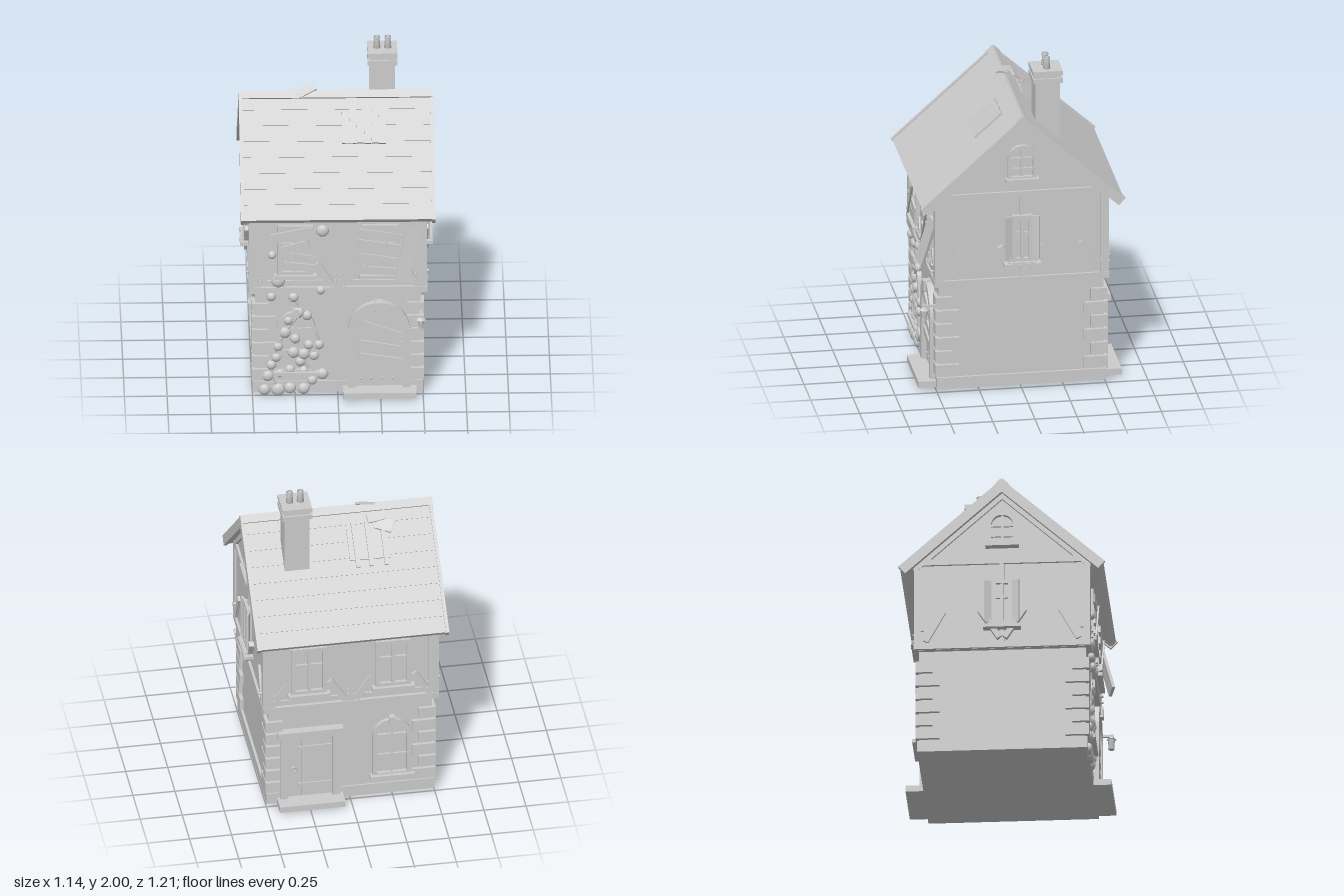
import * as THREE from 'three';

export function createModel() {
  const stone = new THREE.MeshStandardMaterial({ color: 0xcccccc });
  stone.name = 'pale grey';
  const house = new THREE.Group();
  house.name = 'house';

  const add = (parent, name, geo, x, y, z, rz = 0, rx = 0, ry = 0) => {
    const m = new THREE.Mesh(geo, stone);
    m.name = name;
    m.position.set(x, y, z);
    m.rotation.set(rx, ry, rz);
    parent.add(m);
    return m;
  };
  const box = (parent, name, w, h, d, x, y, z, rz, rx, ry) =>
    add(parent, name, new THREE.BoxGeometry(w, h, d), x, y, z, rz, rx, ry);
  // beam lying on a face between two points
  const beam = (parent, name, x1, y1, x2, y2, w, d, z) =>
    box(parent, name, Math.hypot(x2 - x1, y2 - y1), w, d, (x1 + x2) / 2, (y1 + y2) / 2, z, Math.atan2(y2 - y1, x2 - x1));
  const group = (parent, name, x = 0, y = 0, z = 0, ry = 0) => {
    const g = new THREE.Group();
    g.name = name;
    g.position.set(x, y, z);
    g.rotation.y = ry;
    parent.add(g);
    return g;
  };

  // arch-headed outline: half width r, foot y0, springing y1
  const arch = (Type, r, y0, y1) => {
    const s = new Type();
    s.moveTo(-r, y0);
    s.lineTo(r, y0);
    s.lineTo(r, y1);
    s.absarc(0, y1, r, 0, Math.PI, false);
    s.lineTo(-r, y0);
    return s;
  };
  const extrude = (s, depth) => new THREE.ExtrudeGeometry(s, { depth, bevelEnabled: false, curveSegments: 12 });
  const archFrame = (parent, r, t, y0, y1, foot, depth) => {
    const s = arch(THREE.Shape, r, y0, y1);
    s.holes.push(arch(THREE.Path, r - t, y0 + foot, y1));
    add(parent, 'archFrame', extrude(s, depth), 0, 0, 0);
  };
  const archWindow = (parent, x, z, r, y0, y1) => {
    const g = group(parent, 'archedWindow', x, 0, z);
    archFrame(g, r, r * 0.24, y0, y1, 0.02, 0.03);
    add(g, 'windowPane', extrude(arch(THREE.Shape, r * 0.9, y0, y1), 0.006), 0, 0, 0);
    box(g, 'mullion', 0.014, y1 - y0 + r * 0.9, 0.02, 0, (y0 + y1 + r * 0.9) / 2, 0.01);
    for (const y of [y0 + (y1 - y0) * 0.5, y1]) box(g, 'glazingBar', r * 1.7, 0.012, 0.018, 0, y, 0.01);
    box(g, 'sill', r * 2.3, 0.022, 0.055, 0, y0, 0.025);
    return g;
  };
  const casement = (parent, x, z, w, y0, y1) => {
    const g = group(parent, 'casementWindow', x, 0, z);
    const h = y1 - y0, y = (y0 + y1) / 2;
    box(g, 'windowPane', w, h, 0.008, 0, y, 0.002);
    for (const s of [-1, 1]) {
      box(g, 'frameSide', 0.024, h, 0.03, s * (w / 2 - 0.012), y, 0.01);
      box(g, 'frameRail', w, 0.024, 0.03, 0, y + s * (h / 2 - 0.012), 0.01);
    }
    box(g, 'mullion', 0.02, h, 0.025, 0, y, 0.01);
    box(g, 'glazingBar', w, 0.014, 0.02, 0, y + h * 0.12, 0.01);
    box(g, 'sill', w + 0.04, 0.022, 0.05, 0, y0 - 0.008, 0.02);
  };

  // walls
  box(house, 'plinth', 1, 0.07, 1, 0, 0.055, 0);
  box(house, 'lowerWalls', 0.97, 0.62, 0.98, 0, 0.37, 0);
  const gable = new THREE.Shape([[-0.5, 0.67], [0.5, 0.67], [0.5, 1.22], [0, 1.67], [-0.5, 1.22]].map(p => new THREE.Vector2(...p)));
  add(house, 'upperWalls', extrude(gable, 1.02), -0.51, 0, 0, 0, 0, Math.PI / 2);

  // corner stones
  for (const sx of [-1, 1]) for (const sz of [-1, 1]) for (let i = 0; i < 6; i++) {
    const len = i % 2 ? 0.14 : 0.1;
    box(house, 'cornerStone', len, 0.07, len, sx * (0.506 - len / 2), 0.565 - i * 0.0855, sz * (0.51 - len / 2));
  }

  // timber framing on the long sides
  const front = group(house, 'frontFace');
  const back = group(house, 'backFace', 0, 0, 0, Math.PI);
  for (const f of [front, back]) {
    box(f, 'bottomRail', 1.044, 0.038, 0.04, 0, 0.69, 0.5);
    box(f, 'topRail', 1.044, 0.045, 0.04, 0, 1.2, 0.5);
    box(f, 'centrePost', 0.05, 0.5, 0.03, 0, 0.95, 0.5);
    for (const s of [-1, 1]) {
      box(f, 'cornerPost', 0.06, 0.52, 0.05, s * 0.492, 0.95, 0.492);
      beam(f, 'brace', s * 0.03, 0.715, s * 0.125, 0.86, 0.035, 0.03, 0.5);
      beam(f, 'brace', s * 0.465, 0.715, s * 0.375, 0.86, 0.035, 0.03, 0.5);
      box(f, 'lowerRail', 0.34, 0.03, 0.025, s * 0.25, 0.735, 0.5);
      casement(f, s * 0.25, 0.5, 0.21, 0.79, 1.11);
      const peg = new THREE.CylinderGeometry(0.009, 0.009, 0.02, 8);
      for (const y of [0.75, 0.79]) for (const x of [0.015, 0.455])
        add(f, 'peg', peg, s * x, y, 0.52, 0, Math.PI / 2);
    }
  }

  // gable ends
  for (const s of [-1, 1]) {
    const f = group(house, 'gableEnd', 0, 0, 0, s * Math.PI / 2);
    box(f, 'bottomRail', 1.02, 0.038, 0.03, 0, 0.69, 0.51);
    box(f, 'tieBeam', 1.02, 0.038, 0.03, 0, 1.23, 0.51);
    box(f, 'centrePost', 0.03, 0.53, 0.025, 0, 0.96, 0.51);
    casement(f, 0, 0.515, 0.12, 0.81, 1.1);
    for (const k of [-1, 1]) {
      beam(f, 'brace', k * 0.45, 0.72, k * 0.345, 0.91, 0.032, 0.03, 0.51);
      beam(f, 'brace', k * 0.015, 0.73, k * 0.13, 0.91, 0.032, 0.04, 0.52);
      beam(f, 'rafter', k * 0.51, 1.2, 0, 1.66, 0.05, 0.03, 0.51);
      box(f, 'shutter', 0.045, 0.27, 0.012, k * 0.08, 0.96, 0.535, 0, 0, -k * 0.4);
      const peg = new THREE.CylinderGeometry(0.009, 0.009, 0.02, 8);
      add(f, 'peg', peg, k * 0.47, 0.79, 0.525, 0, Math.PI / 2);
    }
    box(f, 'windowSill', 0.22, 0.02, 0.06, 0, 0.795, 0.535);
    archWindow(f, 0, 0.505, 0.085, 1.325, 1.455);
  }

  // roof slopes: local z runs down the slope
  const pitch = Math.atan2(0.54, 0.6), rows = 8, len = 0.8 / rows;
  const slope = name => {
    const turn = group(house, name, 0, 1.72, 0, name === 'backRoof' ? Math.PI : 0);
    const g = group(turn, 'slope');
    g.rotation.x = pitch;
    for (let i = 0; i < rows; i++)
      box(g, 'roofCourse', 1.1, 0.035, len + 0.006, 0, -0.018, (i + 0.5) * len, 0, -0.035);
    box(g, 'roofDeck', 1.1, 0.02, 0.795, 0, -0.032, 0.4);
    for (const s of [-1, 1]) box(g, 'bargeBoard', 0.02, 0.06, 0.825, s * 0.56, -0.02, 0.395);
    return g;
  };
  const frontRoof = slope('frontRoof'), backRoof = slope('backRoof');
  for (const s of [-1, 1])
    box(house, 'ridgeCap', 1.13, 0.014, 0.045, 0, 1.72, s * 0.016, 0, s * pitch);

  // roof repairs
  for (let i = 0; i < 6; i++)
    box(frontRoof, 'patchBoard', 0.041, 0.014, 0.21 + (i % 2) * 0.006, 0.052 + i * 0.0433, 0.006, 0.215);
  box(backRoof, 'patchBoard', 0.24, 0.012, 0.2, 0.163, 0.005, 0.22);
  for (const x of [0.085, 0.165, 0.255]) box(backRoof, 'batten', 0.024, 0.016, 0.27, x, 0.018, 0.23);
  box(backRoof, 'looseBoard', 0.1, 0.016, 0.075, 0.27, 0.022, 0.125, 0.1, 0, -0.4);
  box(backRoof, 'looseBoard', 0.11, 0.016, 0.055, 0.225, 0.03, 0.075, 0, 0, 0.15);
  box(house, 'looseRidgeBoard', 0.11, 0.016, 0.055, -0.175, 1.74, 0, 0.1, 0.6, 0.5);

  // chimney
  const chimney = group(house, 'chimney', 0.275, 0, -0.18);
  box(chimney, 'chimneyStack', 0.148, 0.46, 0.148, 0, 1.67, 0);
  for (const [w, h, y] of [[0.176, 0.03, 1.868], [0.155, 0.02, 1.89], [0.176, 0.028, 1.915]])
    box(chimney, 'chimneyBand', w, h, w, 0, y, 0);
  for (const s of [-1, 1]) {
    const pot = [[0, 0], [0.022, 0], [0.016, 0.062], [0.02, 0.064], [0.02, 0.074], [0.012, 0.074], [0.012, 0.04], [0, 0.04]];
    add(chimney, 'chimneyPot', new THREE.LatheGeometry(pot.map(p => new THREE.Vector2(...p)), 14), s * 0.032, 1.926, 0);
  }

  // front door
  const door = group(front, 'frontDoor', 0.242, 0, 0.48);
  archFrame(door, 0.183, 0.046, 0.05, 0.425, 0.005, 0.05);
  add(door, 'doorLeaf', extrude(arch(THREE.Shape, 0.14, 0.05, 0.425), 0.02), 0, 0, 0);
  box(door, 'keystone', 0.046, 0.068, 0.07, 0, 0.58, 0.03);
  for (const s of [-1, 1]) box(door, 'doorSeam', 0.006, 0.44, 0.005, s * 0.045, 0.28, 0.021);
  for (let i = 0; i < 4; i++)
    add(door, 'nail', new THREE.SphereGeometry(0.008, 8, 6), -0.11 + i * 0.063, 0.107, 0.022);
  for (const [x1, y1, x2, y2] of [[-0.115, 0.47, 0.135, 0.38], [-0.12, 0.34, 0.135, 0.295], [-0.12, 0.255, 0.135, 0.215]])
    beam(door, 'nailedBoard', x1, y1, x2, y2, 0.045, 0.014, 0.033);
  box(front, 'doorStep', 0.43, 0.038, 0.12, 0.245, 0.039, 0.545);

  // back door
  const rear = group(back, 'backDoor', -0.242, 0, 0.49);
  box(rear, 'doorLeaf', 0.28, 0.44, 0.02, 0, 0.27, 0);
  for (const s of [-1, 1]) {
    box(rear, 'doorPost', 0.045, 0.44, 0.05, s * 0.155, 0.27, 0.01);
    box(rear, 'doorSeam', 0.006, 0.42, 0.006, s * 0.045, 0.27, 0.01);
    box(rear, 'hinge', 0.2, 0.02, 0.01, 0.03, 0.27 + s * 0.13, 0.014);
  }
  box(rear, 'lintel', 0.39, 0.045, 0.07, 0, 0.51, 0.015);
  add(rear, 'doorRing', new THREE.TorusGeometry(0.016, 0.005, 6, 14), -0.095, 0.25, 0.015);
  box(back, 'doorStep', 0.39, 0.038, 0.12, -0.242, 0.039, 0.545);

  // ground floor windows
  for (const [f, x] of [[front, -0.245], [back, 0.245]]) {
    const g = archWindow(f, x, 0.485, 0.115, 0.15, 0.43);
    box(g, 'keystone', 0.036, 0.05, 0.045, 0, 0.54, 0.02);
  }

  // boards nailed over the upper front windows
  for (const b of [[-0.39, 1.035, -0.14, 1.085, 0.05], [-0.33, 0.955, -0.17, 1.0, 0.045], [-0.32, 0.925, -0.13, 0.89, 0.05], [-0.32, 0.86, -0.14, 0.84, 0.045],
    [0.12, 1.07, 0.38, 1.03, 0.045], [0.12, 1.0, 0.37, 0.96, 0.05], [0.12, 0.91, 0.38, 0.87, 0.05], [0.14, 0.83, 0.37, 0.81, 0.045]])
    beam(front, 'windowBoard', b[0], b[1], b[2], b[3], b[4], 0.012, 0.53);
  for (const x of [-0.24, 0.24]) beam(front, 'diagonalStrip', x - 0.115, 0.8, x + 0.115, 1.1, 0.012, 0.01, 0.54);
  box(front, 'hangingShutter', 0.085, 0.31, 0.018, 0.405, 0.925, 0.55, -0.24, -0.16, 0.35);

  // lantern
  const lantern = group(front, 'lantern', 0.485, 0, 0.575);
  box(lantern, 'bracket', 0.014, 0.014, 0.09, 0, 0.545, -0.03);
  add(lantern, 'lanternGlass', new THREE.CylinderGeometry(0.022, 0.016, 0.055, 6), 0, 0.495, 0);
  add(lantern, 'lanternCap', new THREE.CylinderGeometry(0.01, 0.03, 0.018, 6), 0, 0.53, 0);
  add(lantern, 'lanternBase', new THREE.CylinderGeometry(0.019, 0.019, 0.01, 6), 0, 0.464, 0);

  // ivy: leaf clumps x, y, radius
  const clumps = [[-0.43, 0.04, 0.035], [-0.35, 0.04, 0.04], [-0.28, 0.05, 0.035], [-0.2, 0.045, 0.035], [-0.41, 0.13, 0.035], [-0.39, 0.2, 0.03], [-0.36, 0.25, 0.03],
    [-0.35, 0.32, 0.03], [-0.31, 0.41, 0.035], [-0.25, 0.37, 0.03], [-0.26, 0.28, 0.035], [-0.2, 0.27, 0.035], [-0.17, 0.33, 0.03], [-0.11, 0.33, 0.03], [-0.14, 0.26, 0.03],
    [-0.09, 0.14, 0.035], [-0.15, 0.1, 0.03], [-0.2, 0.16, 0.03], [-0.28, 0.17, 0.03], [-0.34, 0.15, 0.03], [-0.29, 0.49, 0.03], [-0.23, 0.54, 0.035], [-0.18, 0.52, 0.03],
    [-0.22, 0.22, 0.03]];
  const high = [[-0.39, 0.65, 0.028], [-0.26, 0.645, 0.03], [-0.35, 0.75, 0.04], [-0.1, 0.69, 0.028], [-0.385, 0.92, 0.025], [-0.09, 1.075, 0.038]];
  const leaf = new THREE.SphereGeometry(1, 10, 8);
  [...clumps, ...high].forEach(([x, y, r], i) =>
    add(front, 'ivyClump', leaf, x, Math.max(y, r), i < clumps.length ? 0.505 : 0.515).scale.set(r, r, 0.022));
  for (const pts of [[[-0.35, 0.03], [-0.39, 0.2], [-0.31, 0.41], [-0.23, 0.54], [-0.26, 0.645], [-0.35, 0.75]], [[-0.2, 0.03], [-0.15, 0.1], [-0.2, 0.27], [-0.11, 0.33], [-0.18, 0.52]]]) {
    const curve = new THREE.CatmullRomCurve3(pts.map(([x, y]) => new THREE.Vector3(x, y, 0.505)));
    add(front, 'ivyStem', new THREE.TubeGeometry(curve, 24, 0.008, 6), 0, 0, 0);
  }
  return house;
}
